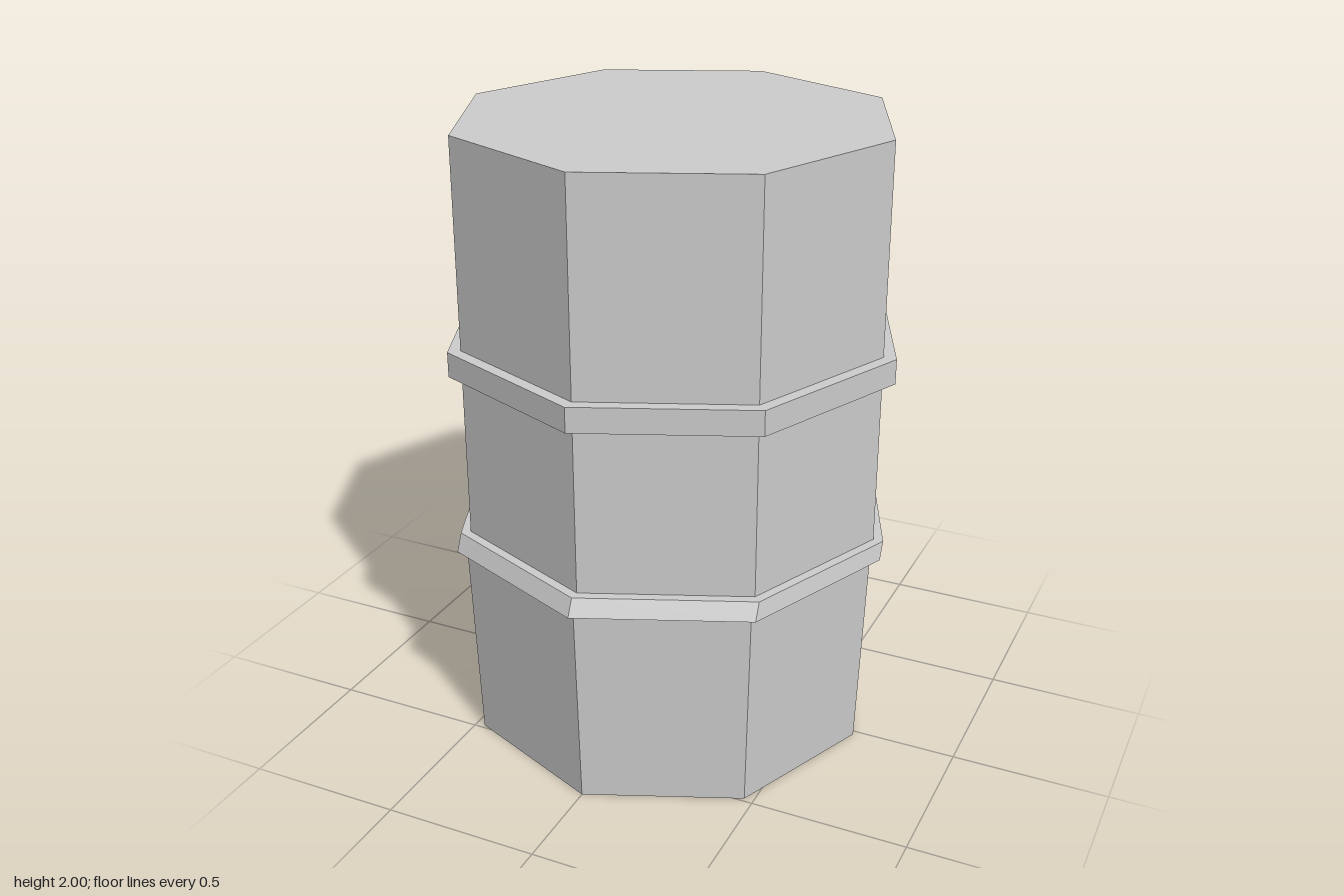
import * as THREE from 'three';

const SIDES = 8;

// The bottom section sits slightly forward; the lower hoop leans to bridge the offset.
function zOffset(y) {
  const t = THREE.MathUtils.clamp((y - 0.67) / (0.725 - 0.67), 0, 1);
  return THREE.MathUtils.lerp(0.018, -0.008, t);
}

// Eight-sided band from a [radius, y] profile running bottom to top
function band(name, profile, material) {
  const points = profile.map(([r, y]) => new THREE.Vector2(r, y));
  const geometry = new THREE.LatheGeometry(points, SIDES).toNonIndexed();
  const pos = geometry.attributes.position;
  for (let i = 0; i < pos.count; i++) pos.setZ(i, pos.getZ(i) + zOffset(pos.getY(i)));
  geometry.computeVertexNormals();
  const mesh = new THREE.Mesh(geometry, material);
  mesh.name = name;
  return mesh;
}

export function createModel() {
  const group = new THREE.Group();
  group.name = 'barrel';
  const grey = new THREE.MeshStandardMaterial({ color: 0xcccccc, flatShading: true });
  grey.name = 'light grey';

  group.add(
    // Tapered base with closed bottom
    band('lowerBody', [[0, 0], [0.664, 0], [0.688, 0.67]], grey),
    // Leaning hoop
    band('lowerHoop', [[0.688, 0.67], [0.72, 0.67], [0.72, 0.725], [0.688, 0.725]], grey),
    band('middleBody', [[0.688, 0.725], [0.688, 1.26]], grey),
    // Straight hoop
    band('upperHoop', [[0.688, 1.26], [0.729, 1.26], [0.729, 1.34], [0.688, 1.34]], grey),
    // Upper section with flat lid
    band('upperBody', [[0.688, 1.34], [0.688, 2], [0, 2]], grey),
  );
  return group;
}
